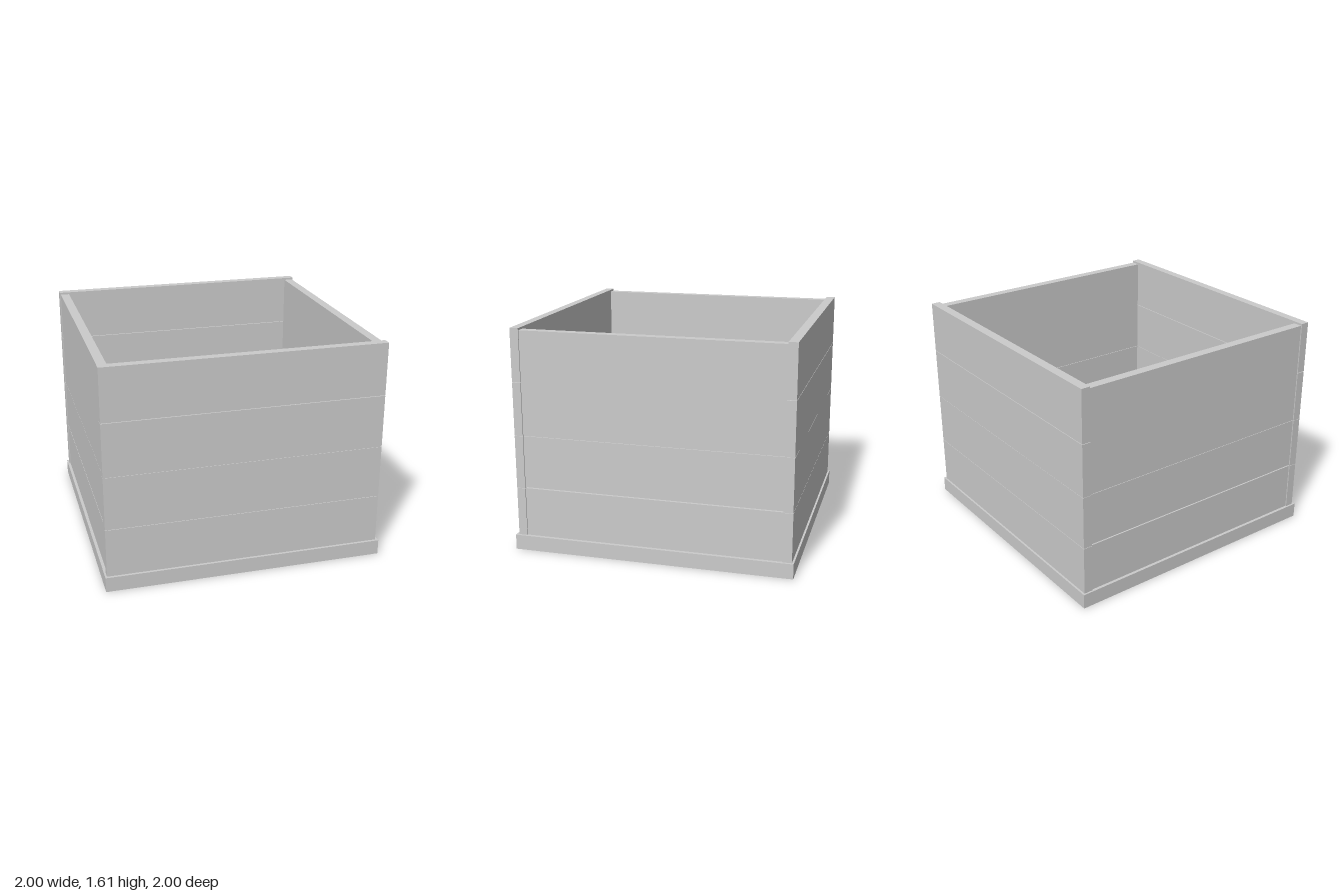
import * as THREE from 'three';

const material = new THREE.MeshStandardMaterial({ color: 0xcccccc, flatShading: true });

// Box given by its lower and upper limits on each axis
function addBox(parent, name, [x0, x1], [y0, y1], [z0, z1]) {
  const mesh = new THREE.Mesh(new THREE.BoxGeometry(x1 - x0, y1 - y0, z1 - z0), material);
  mesh.name = name;
  mesh.position.set((x0 + x1) / 2, (y0 + y1) / 2, (z0 + z1) / 2);
  parent.add(mesh);
}

export function createModel() {
  const crate = new THREE.Group();
  crate.name = 'openCrate';

  // Solid floor slab
  addBox(crate, 'base', [-1, 1], [0, 0.108], [-1, 1]);

  // Four full-width planks on the front and back, parted by hairline gaps
  const endPlanks = [[0.108, 0.459], [0.462, 0.843], [0.845, 1.225], [1.229, 1.605]];
  const ends = { front: [0.919, 0.981], back: [-0.986, -0.921] };
  for (const [side, depth] of Object.entries(ends)) {
    const wall = new THREE.Group();
    wall.name = side + 'Wall';
    endPlanks.forEach((y, i) => addBox(wall, `${side}Plank${i + 1}`, [-0.987, 0.982], y, depth));
    crate.add(wall);
  }

  // Side planks fit between the ends and stop slightly lower; the top one is double height
  const sidePlanks = [[0.108, 0.46], [0.468, 0.843], [0.846, 1.59]];
  const sides = { left: [0.909, 0.974], right: [-0.979, -0.914] };
  for (const [side, width] of Object.entries(sides)) {
    const wall = new THREE.Group();
    wall.name = side + 'Wall';
    sidePlanks.forEach((y, i) => addBox(wall, `${side}Plank${i + 1}`, width, y, [-0.921, 0.919]));
    crate.add(wall);
  }

  return crate;
}
